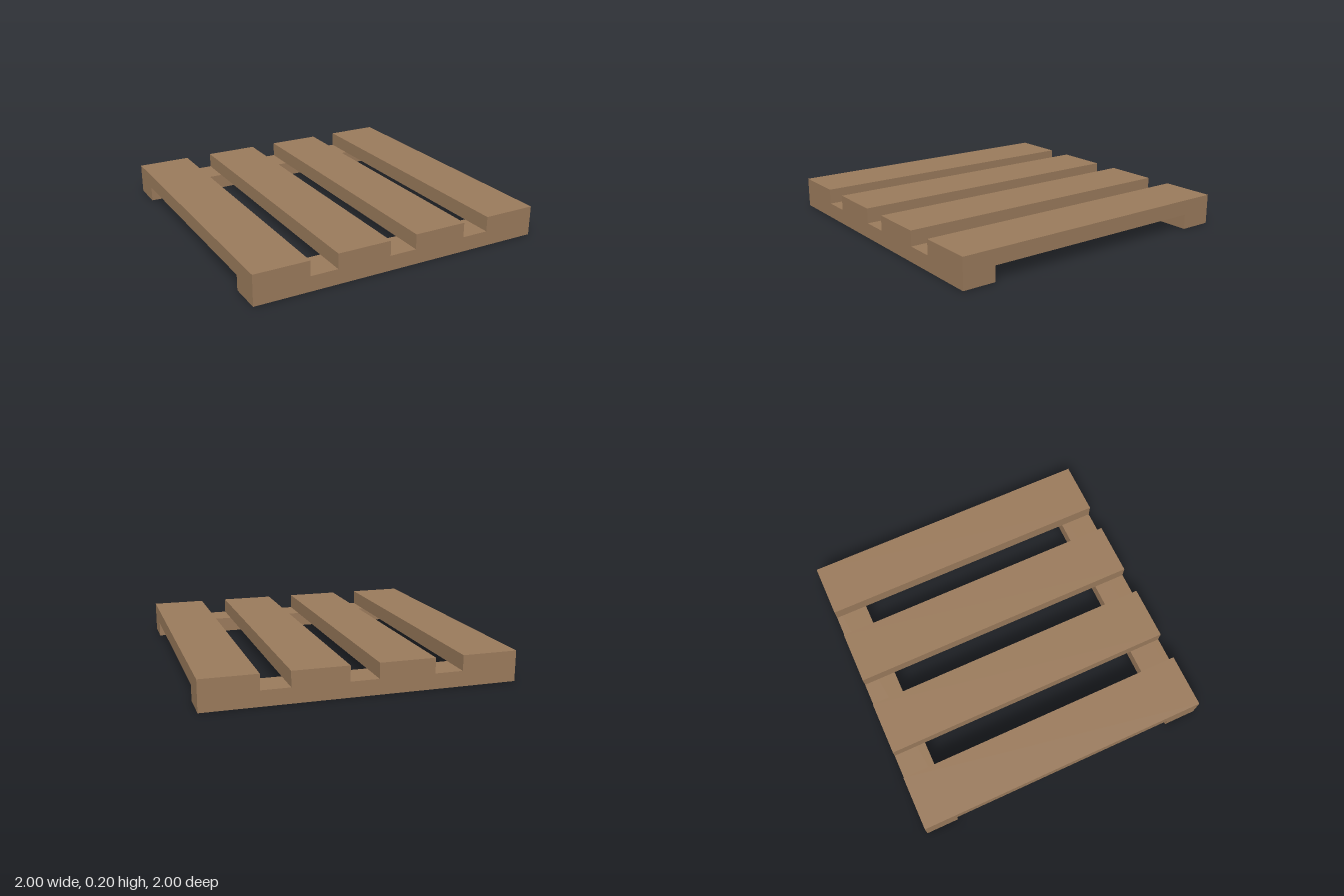
import * as THREE from 'three';

export function createModel() {
  const group = new THREE.Group();
  const wood = new THREE.MeshStandardMaterial({ color: 0x9b7b5c, flatShading: true });

  function addBoard(name, [w, h, d], [x, y, z]) {
    const board = new THREE.Mesh(new THREE.BoxGeometry(w, h, d), wood);
    board.name = name;
    board.position.set(x, y, z);
    group.add(board);
  }

  // Four top slats running front to back, evenly spaced
  const slatWidth = 0.362;
  const pitch = (2 - slatWidth) / 3;
  for (let i = 0; i < 4; i++) {
    addBoard(`slat${i + 1}`, [slatWidth, 0.1, 2], [(i - 1.5) * pitch, 0.15, 0]);
  }

  // Two rails underneath, flush with the slat ends
  const railDepth = 0.22;
  for (const [name, side] of [['frontRail', 1], ['backRail', -1]]) {
    addBoard(name, [2, 0.1, railDepth], [0, 0.05, side * (1 - railDepth / 2)]);
  }

  return group;
}
